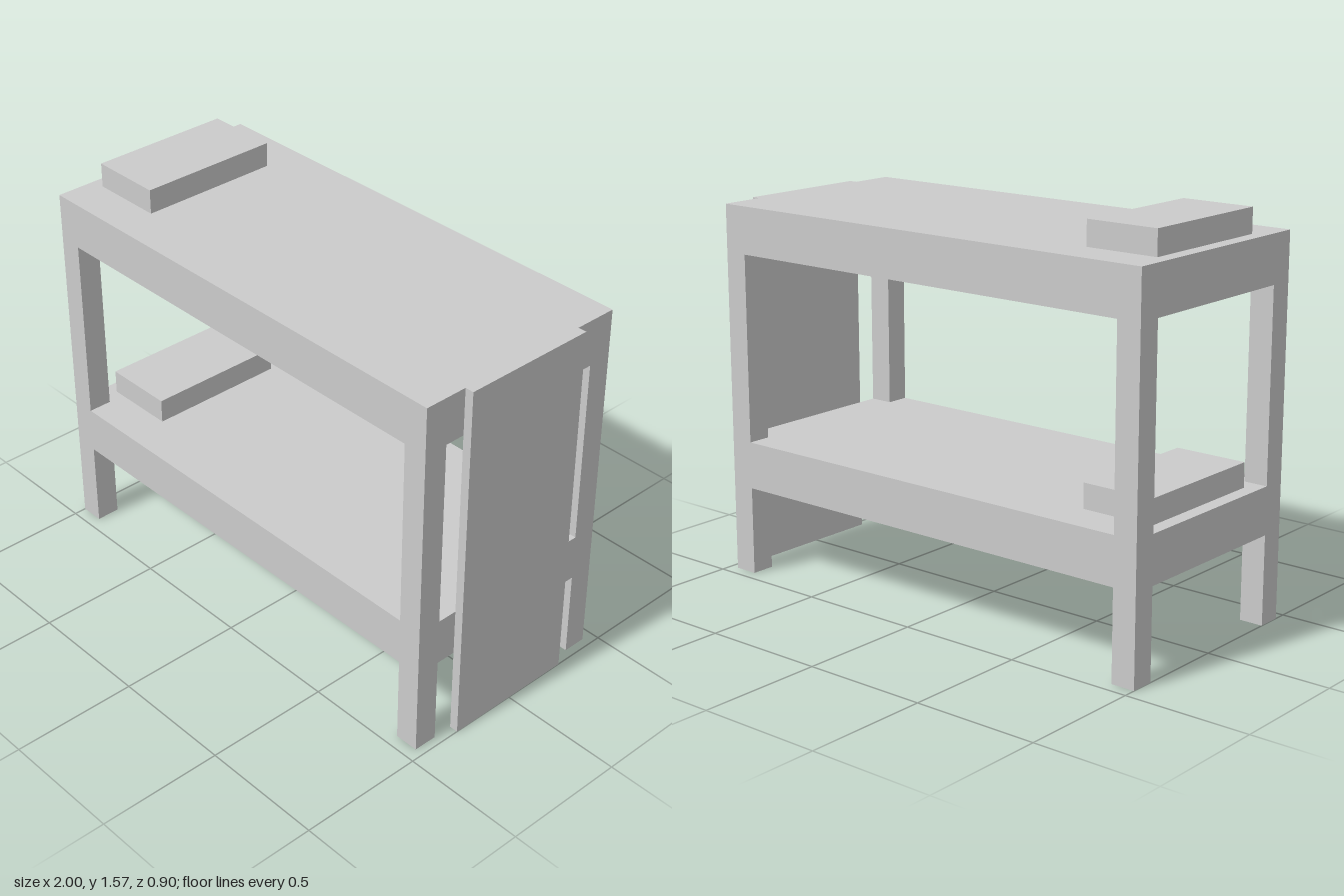
import * as THREE from 'three';

const material = new THREE.MeshStandardMaterial({ color: 0xcccccc, flatShading: true });

// Box given by its extents on each axis
function box(name, [x0, x1], [y0, y1], [z0, z1]) {
  const geometry = new THREE.BoxGeometry(x1 - x0, y1 - y0, z1 - z0);
  const mesh = new THREE.Mesh(geometry, material);
  mesh.position.set((x0 + x1) / 2, (y0 + y1) / 2, (z0 + z1) / 2);
  mesh.name = name;
  return mesh;
}

export function createModel() {
  const bed = new THREE.Group();
  bed.name = 'bunkBed';

  const head = -1, foot = 0.965, halfWidth = 0.45, post = 0.096;
  const decks = [
    { name: 'lower', bottom: 0.353, top: 0.541 },
    { name: 'upper', bottom: 1.289, top: 1.476 },
  ];

  // Two solid decks, each with a pillow at the head end
  for (const { name, bottom, top } of decks) {
    bed.add(box(`${name}Deck`, [head, foot], [bottom, top], [-halfWidth, halfWidth]));
    bed.add(box(`${name}Pillow`, [-0.945, -0.65], [top, top + 0.097], [-0.287, 0.287]));
  }

  // Corner posts: legs below the lower deck, uprights between the decks
  const spans = [
    { name: 'leg', y: [0, decks[0].bottom] },
    { name: 'upright', y: [decks[0].top, decks[1].bottom] },
  ];
  for (const x of [[head, head + post], [foot - post, foot]]) {
    for (const z of [[-halfWidth, post - halfWidth], [halfWidth - post, halfWidth]]) {
      for (const { name, y } of spans) bed.add(box(name, x, y, z));
    }
  }

  // Tall panel across the foot end
  bed.add(box('footPanel', [foot, 1], [0, decks[1].top], [-0.274, 0.274]));

  return bed;
}
